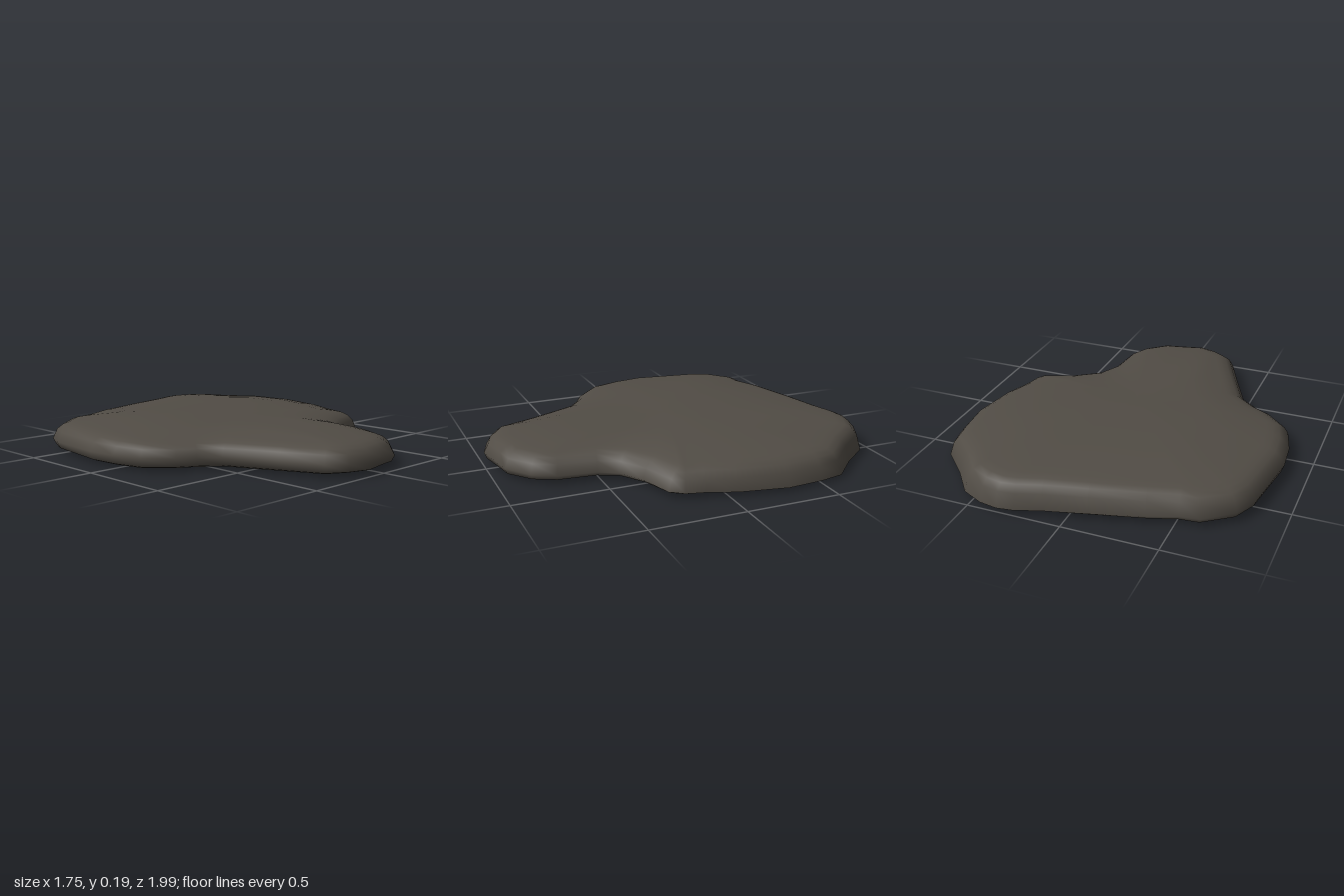
import * as THREE from 'three';
import { mergeVertices } from 'three/addons/utils/BufferGeometryUtils.js';

// Plan outline as x, z pairs, from the front tip round by +x to the back
const outline = [
  [-0.08, 0.99], [0.07, 0.96], [0.17, 0.94], [0.29, 0.84], [0.35, 0.72], [0.37, 0.52],
  [0.42, 0.42], [0.54, 0.34], [0.71, 0.28], [0.76, 0.21], [0.78, 0.11], [0.83, -0.04],
  [0.87, -0.3], [0.85, -0.5], [0.82, -0.63], [0.68, -0.77], [0.56, -0.92], [0.44, -0.98],
  [0.34, -1], [0.25, -0.99], [0.12, -0.95], [-0.1, -0.9], [-0.37, -0.83], [-0.52, -0.78],
  [-0.62, -0.77], [-0.77, -0.66], [-0.83, -0.53], [-0.88, -0.17], [-0.865, 0], [-0.82, 0.16],
  [-0.7, 0.28], [-0.61, 0.33], [-0.51, 0.41], [-0.39, 0.67], [-0.3, 0.88], [-0.2, 0.95],
];

// Cross-section from the top centre over the rim to the bottom centre:
// scale towards the middle, inset from the rim, height from rim (0) to crown (1)
const topRings = [
  [0, 0.09, 1], [0.2, 0.09, 1], [0.4, 0.09, 0.99], [0.6, 0.09, 0.97], [0.75, 0.09, 0.92],
  [0.87, 0.09, 0.84], [0.95, 0.09, 0.77], [1, 0.09, 0.71], [1, 0.055, 0.6], [1, 0.025, 0.4], [1, 0, 0],
];
// Underside: scale, inset, absolute height
const bottomRings = [
  [1, 0.015, 0.022], [1, 0.04, 0.012], [1, 0.05, 0.01], [0.92, 0.05, 0.007], [0.84, 0.05, 0.005],
  [0.76, 0.05, 0.004], [0.68, 0.05, 0.003], [0.58, 0.05, 0.002], [0.3, 0.05, 0], [0, 0.05, 0],
];

const bump = (x, z, cx, cz, r) => Math.exp(-((x - cx) ** 2 + (z - cz) ** 2) / (r * r));

// Outward direction of the outline at each point
const normals = outline.map((p, i) => {
  const a = outline.at(i - 1), b = outline[(i + 1) % outline.length];
  return new THREE.Vector2(a[1] - b[1], b[0] - a[0]).normalize();
});

function ringPoint(i, scale, inset) {
  const [x, z] = outline[i], n = normals[i];
  return [(x - n.x * inset) * scale, (z - n.y * inset) * scale];
}

function topPoint(i, [scale, inset, f]) {
  const [x, z] = ringPoint(i, scale, inset);
  const rim = 0.045 - 0.025 * outline[i][0] + 0.015 * outline[i][1];
  // The crown dips at the neck, and a groove runs beside it
  const crown = 0.189 - 0.014 * THREE.MathUtils.smoothstep(z, -0.2, 0.25)
    - 0.012 * THREE.MathUtils.smoothstep(-x, 0.3, 0.7);
  const back = 0.1 * THREE.MathUtils.smoothstep(-z, 0.5, 0.9) * Math.sin(Math.PI * f);
  const groove = 0.04 * f * bump(x, z, -0.38, 0.52, 0.09);
  return [x, rim + (crown - rim) * Math.min(1, f + back) - groove, z];
}

function bottomPoint(i, [scale, inset, y]) {
  const [x, z] = ringPoint(i, scale, inset);
  // Shallow hollow below the neck
  return [x, y + 0.045 * bump(x, z, -0.05, 0.74, 0.15), z];
}

function stoneGeometry() {
  const count = outline.length;
  const rings = [
    ...topRings.map((r) => outline.map((_, i) => topPoint(i, r))),
    ...bottomRings.map((r) => outline.map((_, i) => bottomPoint(i, r))),
  ];
  const index = [];
  for (let k = 0; k < rings.length - 1; k++) {
    for (let i = 0; i < count; i++) {
      const j = (i + 1) % count;
      const a = k * count + i, b = k * count + j, c = a + count, d = b + count;
      if (k > 0) index.push(a, d, b);
      if (k < rings.length - 2) index.push(a, c, d);
      else index.push(a, c, b);
      if (k === rings.length - 2) index.splice(-6, 3);
    }
  }
  const geometry = new THREE.BufferGeometry();
  geometry.setAttribute('position', new THREE.Float32BufferAttribute(rings.flat(2), 3));
  geometry.setIndex(index);
  const merged = mergeVertices(geometry);
  merged.computeVertexNormals();
  return merged;
}

export function createModel() {
  const group = new THREE.Group();
  group.name = 'flatStone';
  const stone = new THREE.MeshStandardMaterial({ color: 0x514c45 });
  stone.name = 'dark stone';
  const slab = new THREE.Mesh(stoneGeometry(), stone);
  slab.name = 'stoneSlab';
  group.add(slab);
  return group;
}
